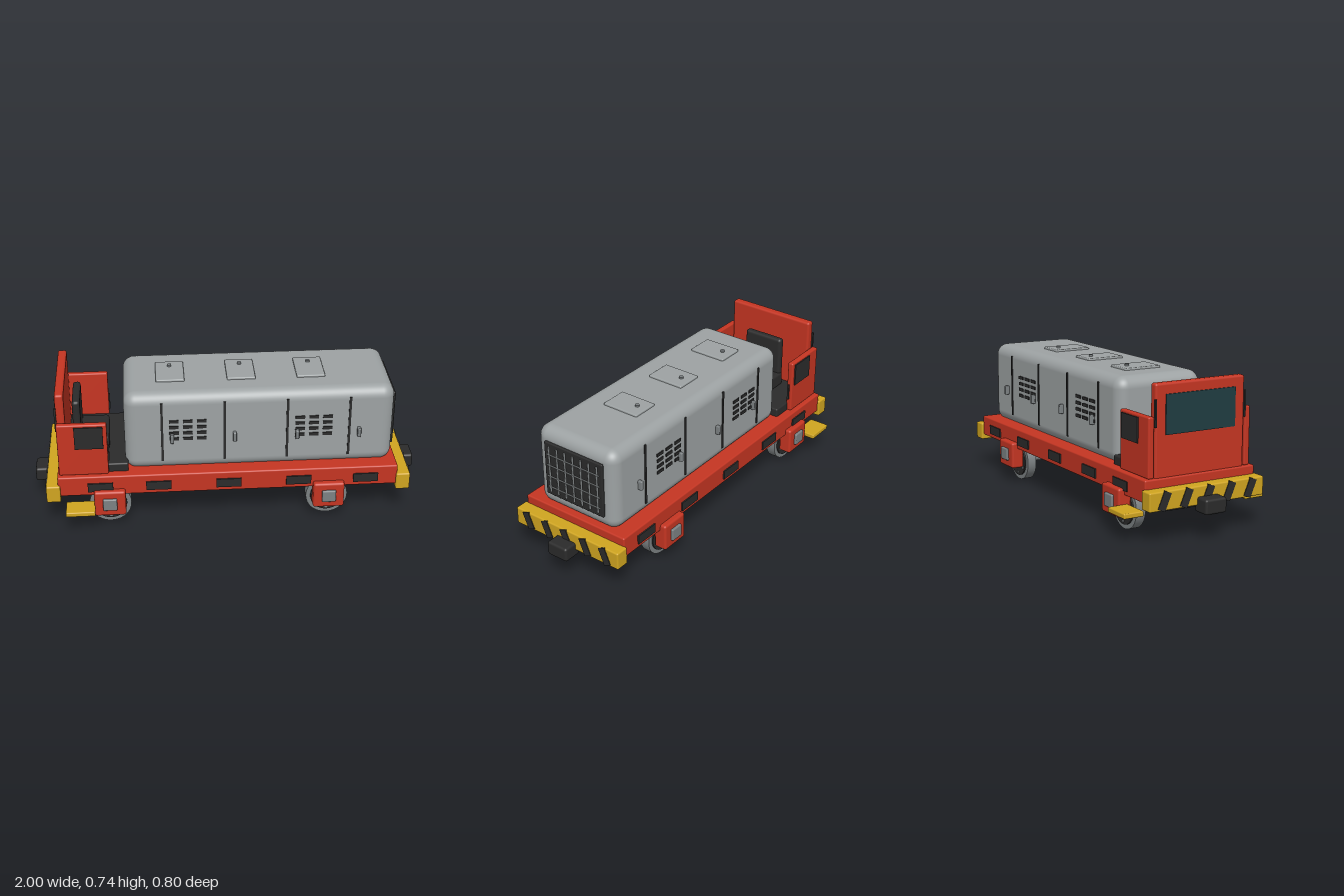
import * as THREE from 'three';
import { RoundedBoxGeometry } from 'three/addons/geometries/RoundedBoxGeometry.js';

const mat = (name, color) => {
  const m = new THREE.MeshStandardMaterial({ color });
  m.name = name;
  return m;
};

export function createModel() {
  const root = new THREE.Group();
  root.name = 'locomotive';
  const red = mat('red paint', 0xc53522);
  const grey = mat('hood grey', 0x9da2a3);
  const steel = mat('steel', 0x7c8183);
  const dark = mat('black parts', 0x2b2b2b);
  const yellow = mat('warning yellow', 0xd0a520);
  const glass = mat('tinted glass', 0x1f3d42);

  // Box given by its extents on each axis, with softened edges when r > 0
  const box = (name, m, [x0, x1], [y0, y1], [z0, z1], r = 0, parent = root) => {
    const s = [x1 - x0, y1 - y0, z1 - z0];
    const g = r ? new RoundedBoxGeometry(...s, r > 0.03 ? 6 : 2, r) : new THREE.BoxGeometry(...s);
    const mesh = new THREE.Mesh(g, m);
    mesh.name = name;
    mesh.position.set((x0 + x1) / 2, (y0 + y1) / 2, (z0 + z1) / 2);
    parent.add(mesh);
    return mesh;
  };
  // Box on one side, measured outwards from the centre line
  const sideBox = (name, m, xs, ys, [z0, z1], s, r = 0) =>
    box(name, m, xs, ys, s > 0 ? [z0, z1] : [-z1, -z0], r);
  const around = (c, w) => [c - w / 2, c + w / 2];
  const cyl = (name, m, r, h, axis, x, y, z, seg = 32) => {
    const mesh = new THREE.Mesh(new THREE.CylinderGeometry(r, r, h, seg), m);
    if (axis === 'z') mesh.rotation.x = Math.PI / 2;
    mesh.name = name;
    mesh.position.set(x, y, z);
    root.add(mesh);
    return mesh;
  };

  // Chassis
  box('deck', red, [-0.87, 0.865], [0.19, 0.3], [-0.31, 0.31], 0.008);
  box('underframe', dark, [-0.775, 0.77], [0.105, 0.2], [-0.12, 0.12], 0.008);

  // Striped buffer beams and couplers
  for (const e of [-1, 1]) {
    const span = (a, b) => (e > 0 ? [a, b] : [-b, -a]);
    box('bufferBeam', yellow, span(0.858, 0.93), [0.163, 0.256], [-0.323, 0.323], 0.008);
    for (let i = -2; i <= 2; i++) {
      const s = box('warningStripe', dark, span(0.926, 0.934), around(0.209, 0.092), around(i * 0.121, 0.041));
      s.rotation.x = 0.4;
    }
    box('coupler', dark, span(0.905, 1), [0.13, 0.204], [-0.06, 0.06], 0.012);
  }

  // Wheelsets with axle boxes
  for (const x of [-0.61, 0.51]) {
    cyl('axle', steel, 0.019, 0.44, 'z', x, 0.11, 0, 20);
    for (const s of [-1, 1]) {
      cyl('wheel', steel, 0.108, 0.05, 'z', x, 0.108, s * 0.235, 40);
      cyl('wheelDisc', dark, 0.085, 0.01, 'z', x, 0.108, s * 0.263);
      for (let i = 0; i < 6; i++) {
        const a = (i / 6) * Math.PI * 2 + Math.PI / 6;
        cyl('wheelBolt', steel, 0.008, 0.006, 'z', x + 0.068 * Math.cos(a), 0.108 + 0.068 * Math.sin(a), s * 0.269, 10);
      }
      sideBox('axleBox', red, around(x, 0.16), [0.082, 0.224], [0.272, 0.342], s, 0.012);
      sideBox('axleBoxCover', steel, around(x, 0.072), [0.12, 0.186], [0.335, 0.355], s, 0.006);
    }
  }

  // Engine hood
  box('hood', grey, [-0.525, 0.842], [0.285, 0.718], [-0.243, 0.243], 0.06);
  for (const x of [-0.285, 0.075, 0.43]) {
    box('roofHatch', grey, around(x, 0.145), [0.71, 0.729], [-0.102, 0.102], 0.006);
    cyl('hatchKnob', steel, 0.011, 0.012, 'y', x, 0.732, -0.05, 14);
  }

  // Radiator grille
  box('grillePanel', dark, [0.83, 0.855], [0.36, 0.654], [-0.179, 0.179], 0.005);
  for (let i = -3; i <= 3; i++) cyl('grilleBar', grey, 0.0045, 0.255, 'y', 0.857, 0.508, i * 0.0495, 8);
  for (const y of [0.408, 0.468, 0.53, 0.59]) cyl('grilleRail', grey, 0.0035, 0.325, 'z', 0.858, y, 0, 8);

  for (const s of [-1, 1]) {
    // Stake pockets along the deck
    for (const x of [-0.655, -0.36, -0.003, 0.355, 0.7])
      sideBox('stakePocket', dark, around(x, 0.128), [0.214, 0.262], [0.308, 0.317], s);

    // Hood doors: seams, handles and louvres
    for (const x of [-0.335, -0.019, 0.298, 0.614]) {
      sideBox('doorSeam', dark, around(x, 0.012), [0.34, 0.672], [0.24, 0.247], s);
      sideBox('doorHandle', steel, around(x + 0.05, 0.019), [0.45, 0.5], [0.24, 0.266], s, 0.005);
    }
    for (const x of [-0.205, 0.432])
      for (let c = -1; c <= 1; c++)
        for (let r = 0; r < 4; r++)
          sideBox('louvre', dark, around(x + c * 0.07, 0.048), around(0.468 + r * 0.033, 0.016), [0.24, 0.248], s);

    // Cab side walls with windows, rails and steps
    sideBox('cabSide', red, [-0.86, -0.61], [0.3, 0.59], [0.255, 0.287], s, 0.008);
    sideBox('sideWindow', dark, [-0.773, -0.63], [0.455, 0.577], [0.285, 0.294], s);
    sideBox('doorRail', dark, [-0.612, -0.603], [0.37, 0.46], [0.262, 0.272], s);
    sideBox('windscreenRail', dark, [-0.866, -0.856], [0.54, 0.67], [0.246, 0.255], s);
    sideBox('cabStep', yellow, [-0.833, -0.685], [0.12, 0.146], [0.29, 0.398], s, 0.006);
  }

  // Cab: floor, windscreen wall and seat
  box('cabFloor', dark, [-0.83, -0.51], [0.29, 0.345], [-0.262, 0.262], 0.008);
  box('windscreenWall', red, [-0.86, -0.815], [0.29, 0.742], [-0.25, 0.25], 0.012);
  box('windscreen', glass, [-0.865, -0.857], [0.5, 0.69], [-0.195, 0.195]);
  box('seatBase', dark, [-0.78, -0.605], [0.34, 0.42], [-0.12, 0.12], 0.015);
  box('seatBack', dark, [-0.785, -0.745], [0.36, 0.626], [-0.115, 0.115], 0.015);

  return root;
}
